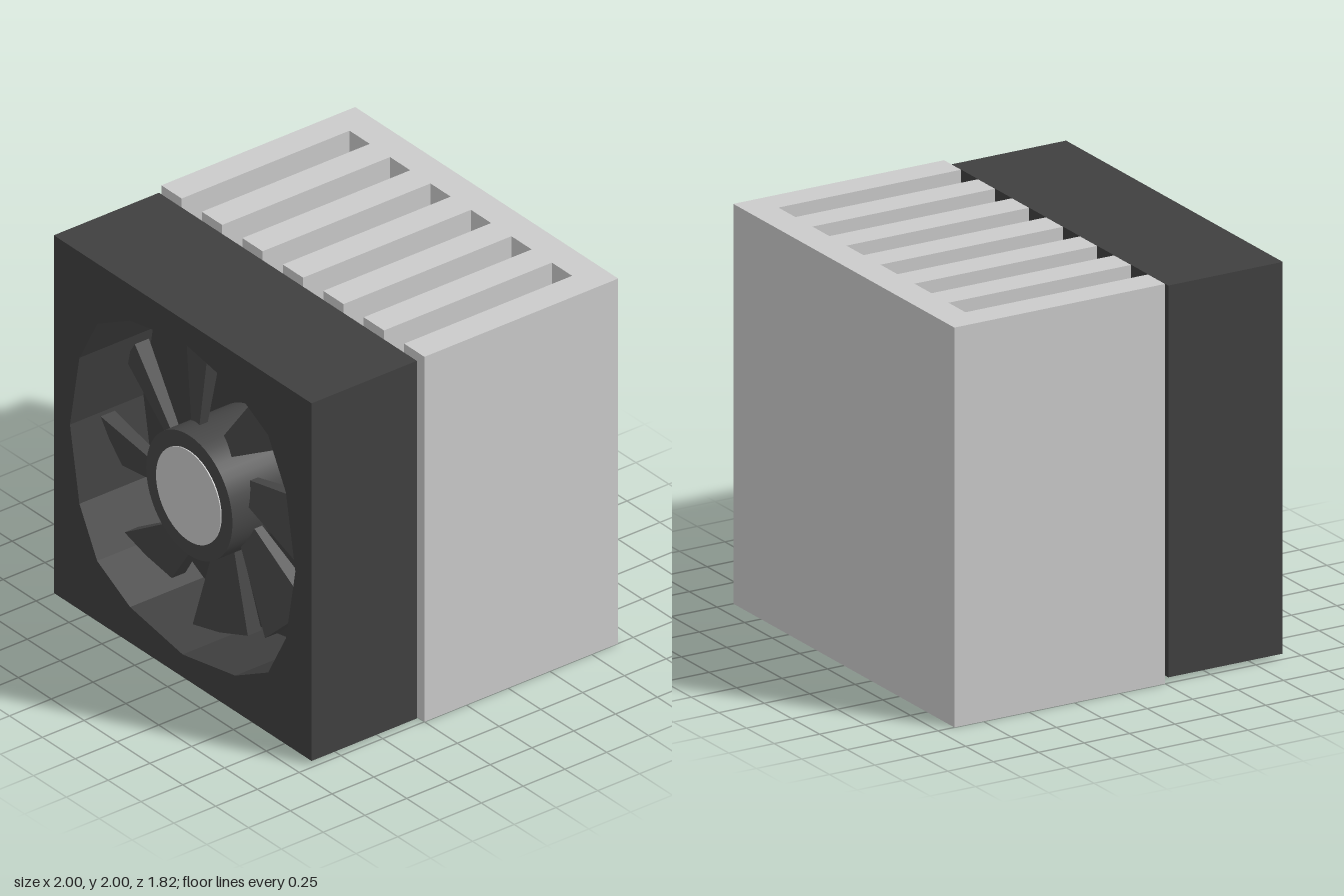
import * as THREE from 'three';

const FRONT = 0.91, FLOOR = 0.47, FAN_BACK = 0.28;

function part(name, geometry, color) {
  const mesh = new THREE.Mesh(geometry, new THREE.MeshStandardMaterial({ color, flatShading: true }));
  mesh.name = name;
  return mesh;
}

// Comb-shaped block: back plate with seven upright fins
function heatSinkGeometry() {
  const fins = 7, width = 0.154, pitch = (2 - width) / (fins - 1);
  const s = new THREE.Shape();
  s.moveTo(1, 0.91);
  s.lineTo(-1, 0.91);
  for (let i = 0; i < fins; i++) {
    const x = -1 + i * pitch;
    if (i > 0) s.lineTo(x, 0.755);
    s.lineTo(x, -0.25);
    s.lineTo(x + width, -0.25);
    if (i < fins - 1) s.lineTo(x + width, 0.755);
  }
  s.closePath();
  return new THREE.ExtrudeGeometry(s, { depth: 2, bevelEnabled: false }).rotateX(-Math.PI / 2);
}

// Square frame with a sixteen-sided opening
function frameGeometry() {
  const s = new THREE.Shape();
  s.moveTo(-0.98, -0.98);
  s.lineTo(0.98, -0.98);
  s.lineTo(0.98, 0.98);
  s.lineTo(-0.98, 0.98);
  s.closePath();
  const quarter = [[0.857, 0], [0.785, 0.4], [0.65, 0.65], [0.4, 0.785]];
  const points = [];
  for (let q = 0; q < 4; q++) {
    for (const [x, y] of quarter) {
      points.push(new THREE.Vector2(x, y).rotateAround(new THREE.Vector2(), q * Math.PI / 2));
    }
  }
  s.holes.push(new THREE.Path(points.reverse()));
  return new THREE.ExtrudeGeometry(s, { depth: FRONT - FLOOR, bevelEnabled: false }).translate(0, 0, FLOOR);
}

// Swept blade pointing up, pitched so its clockwise edge is nearer the front
function bladeGeometry() {
  const s = new THREE.Shape();
  s.moveTo(-0.15, 0.2);
  s.lineTo(-0.08, 0.2);
  s.lineTo(0.055, 0.755);
  s.lineTo(-0.085, 0.752);
  s.lineTo(-0.235, 0.72);
  s.closePath();
  const g = new THREE.ExtrudeGeometry(s, { depth: 1, bevelEnabled: false });
  const p = g.attributes.position;
  for (let i = 0; i < p.count; i++) {
    const x = p.getX(i), y = p.getY(i);
    const face = 0.77 + 0.35 * (x + 0.05);
    const thickness = 0.04 + 0.08 * (y - 0.2);
    p.setZ(i, face - (1 - p.getZ(i)) * thickness);
  }
  g.computeVertexNormals();
  return g;
}

export function createModel() {
  const model = new THREE.Group();
  model.name = 'cooler';
  model.add(part('heatSink', heatSinkGeometry(), 0xcccccc));

  const fan = new THREE.Group();
  fan.name = 'fan';
  fan.position.y = 1;
  model.add(fan);

  // Housing
  fan.add(part('fanFrame', frameGeometry(), 0x404040));
  const back = new THREE.BoxGeometry(1.96, 1.96, FLOOR - FAN_BACK);
  fan.add(part('fanBackPlate', back.translate(0, 0, (FLOOR + FAN_BACK) / 2), 0x404040));

  // Hub with a pale disc on its face
  const hub = new THREE.CylinderGeometry(0.328, 0.328, 0.87 - FLOOR, 48).rotateX(Math.PI / 2);
  const hubMesh = part('hub', hub.translate(0, 0, (0.87 + FLOOR) / 2), 0x474747);
  hubMesh.material.flatShading = false;
  fan.add(hubMesh);
  const disc = new THREE.CylinderGeometry(0.246, 0.246, 0.02, 48).rotateX(Math.PI / 2);
  fan.add(part('hubDisc', disc.translate(0, 0, 0.866), 0xcccccc));

  // Eight blades around the hub
  const blade = bladeGeometry();
  for (let i = 0; i < 8; i++) {
    const mesh = part('blade', blade, 0x474747);
    mesh.rotation.z = i * Math.PI / 4;
    fan.add(mesh);
  }
  return model;
}
